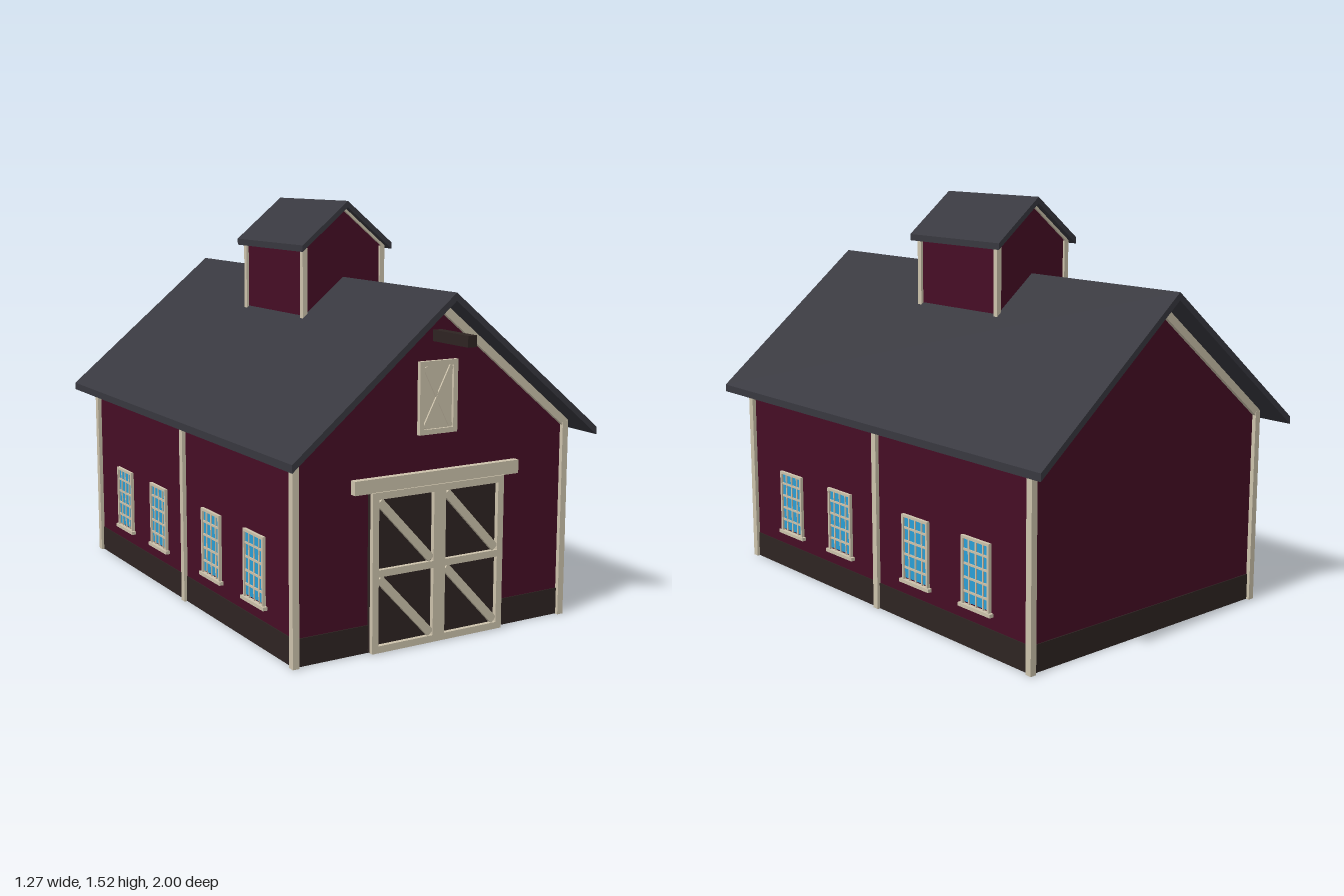
import * as THREE from 'three';

const mat = (name, color) => Object.assign(new THREE.MeshStandardMaterial({ color }), { name });

export function createModel() {
  const barn = new THREE.Group();
  barn.name = 'barn';
  const red = mat('barn red', 0x460d25);
  const slate = mat('slate roof', 0x38383f);
  const cream = mat('cream trim', 0xcdc3ac);
  const dark = mat('dark timber', 0x2e2422);
  const blue = mat('window blue', 0x2a9fd6);

  const ZC = -0.043;   // middle of the building along z
  const SLOPE = 0.817;

  const add = (parent, name, geo, m) => {
    const mesh = new THREE.Mesh(geo, m);
    mesh.name = name;
    parent.add(mesh);
    return mesh;
  };
  // box given by its min and max on each axis
  const box = (parent, name, m, x0, x1, y0, y1, z0, z1) => {
    const b = add(parent, name, new THREE.BoxGeometry(x1 - x0, y1 - y0, z1 - z0), m);
    b.position.set((x0 + x1) / 2, (y0 + y1) / 2, (z0 + z1) / 2);
    return b;
  };
  // outline in x/y, stretched from z0 to z1
  const prism = (parent, name, m, pts, z0, z1) => {
    const shape = new THREE.Shape(pts.map(p => new THREE.Vector2(...p)));
    const geo = new THREE.ExtrudeGeometry(shape, { depth: z1 - z0, bevelEnabled: false });
    geo.translate(0, 0, z0);
    return add(parent, name, geo, m);
  };
  // inverted V with vertical thickness t
  const chevron = (peak, half, t) => {
    const e = peak - half * SLOPE;
    return [[-half, e - t], [0, peak - t], [half, e - t], [half, e], [0, peak], [-half, e]];
  };
  const gable = (peak, half, base) => {
    const e = peak - half * SLOPE;
    return [[-half, base], [half, base], [half, e], [0, peak], [-half, e]];
  };
  // flat board running between two points in the x/y plane
  const brace = (parent, name, m, ax, ay, bx, by, w, z0, z1) => {
    const b = box(parent, name, m, 0, Math.hypot(bx - ax, by - ay), 0, w, z0, z1);
    b.position.set((ax + bx) / 2, (ay + by) / 2, (z0 + z1) / 2);
    b.rotation.z = Math.atan2(by - ay, bx - ax);
    return b;
  };

  // main hall
  const zf = 0.8, zb = -0.886;
  prism(barn, 'walls', red, gable(1.208, 0.565, 0), zb, zf);
  box(barn, 'baseBoard', dark, -0.569, 0.569, 0.001, 0.1, zb - 0.004, zf + 0.004);
  prism(barn, 'roof', slate, chevron(1.24, 0.633, 0.028), -1, 0.91);
  prism(barn, 'frontRake', cream, chevron(1.212, 0.58, 0.037), zf - 0.01, zf + 0.015);
  prism(barn, 'backRake', cream, chevron(1.212, 0.58, 0.037), zb - 0.015, zb + 0.01);
  for (const s of [-1, 1]) {
    const side = (name, m, a, b, ...r) =>
      box(barn, name, m, Math.min(s * a, s * b), Math.max(s * a, s * b), ...r);
    side('cornerPost', cream, 0.555, 0.58, 0, 0.735, 0.79, 0.816);
    side('cornerPost', cream, 0.555, 0.58, 0, 0.735, -0.902, -0.876);
    side('middlePost', cream, 0.56, 0.58, 0, 0.735, ZC - 0.013, ZC + 0.013);
    side('eaveBoard', cream, 0.56, 0.58, 0.7, 0.737, -0.9, 0.814);
  }

  // side windows
  function makeWindow() {
    const g = new THREE.Group();
    g.name = 'window';
    const w = 0.074, y0 = 0.155, y1 = 0.405, f = 0.01;
    box(g, 'glass', blue, -w + f, w - f, y0 + f, y1 - f, -0.005, 0.004);
    for (const s of [-1, 1]) {
      box(g, 'jamb', cream, s * (w - f / 2) - f / 2, s * (w - f / 2) + f / 2, y0, y1, -0.005, 0.012);
    }
    box(g, 'head', cream, -w, w, y1 - f, y1, -0.005, 0.012);
    box(g, 'sill', cream, -0.085, 0.085, 0.146, 0.159, -0.005, 0.017);
    for (let i = 1; i < 4; i++) {
      const x = -w + (i * 2 * w) / 4;
      box(g, 'verticalBar', cream, x - 0.003, x + 0.003, y0, y1, 0, 0.008);
    }
    for (let i = 1; i < 5; i++) {
      const y = y0 + (i * (y1 - y0)) / 5;
      box(g, 'crossBar', cream, -w, w, y - 0.004, y + 0.004, 0, 0.008);
    }
    return g;
  }
  for (const s of [-1, 1]) {
    for (const d of [-0.57, -0.235, 0.235, 0.57]) {
      const win = makeWindow();
      win.position.set(s * 0.565, 0, ZC + d);
      win.rotation.y = (s * Math.PI) / 2;
      barn.add(win);
    }
  }

  // double barn door
  const doors = new THREE.Group();
  doors.name = 'barnDoors';
  barn.add(doors);
  for (const x0 of [-0.277, 0]) {
    const x1 = x0 + 0.277, f = 0.025;
    box(doors, 'doorPanel', dark, x0, x1, 0.003, 0.565, 0.8, 0.815);
    box(doors, 'stile', cream, x0, x0 + f, 0.003, 0.57, 0.8, 0.832);
    box(doors, 'stile', cream, x1 - f, x1, 0.003, 0.57, 0.8, 0.832);
    for (const y of [0.003, 0.273, 0.545]) {
      box(doors, 'rail', cream, x0 + f, x1 - f, y, y + f, 0.8, 0.832);
    }
    for (const y of [0.028, 0.298]) {
      brace(doors, 'brace', cream, x0 + f + 0.006, y + 0.238, x1 - f - 0.006, y + 0.008, 0.03, 0.81, 0.828);
    }
  }
  box(doors, 'doorTrack', cream, -0.345, 0.345, 0.568, 0.617, 0.79, 0.826);

  // loft hatch with crossed boards
  const hatch = new THREE.Group();
  hatch.name = 'loftHatch';
  barn.add(hatch);
  box(hatch, 'hatchPanel', cream, -0.078, 0.078, 0.747, 0.998, 0.795, 0.806);
  for (const s of [-1, 1]) {
    box(hatch, 'hatchStile', cream, s * 0.07 - 0.009, s * 0.07 + 0.009, 0.745, 1, 0.8, 0.816);
    box(hatch, 'hatchRail', cream, -0.061, 0.061, 0.8725 + s * 0.1185 - 0.009, 0.8725 + s * 0.1185 + 0.009, 0.8, 0.816);
    brace(hatch, 'hatchBrace', cream, -0.055, 0.8725 - s * 0.105, 0.055, 0.8725 + s * 0.105, 0.016, 0.8, 0.812 + s * 0.0005);
  }

  // hoist beam
  box(barn, 'hoistBeam', dark, -0.018, 0.018, 1.066, 1.105, 0.78, 1);

  // cupola
  const cupola = new THREE.Group();
  cupola.name = 'cupola';
  cupola.position.z = ZC;
  barn.add(cupola);
  prism(cupola, 'cupolaWalls', red, gable(1.5, 0.17, 1.05), -0.225, 0.225);
  prism(cupola, 'cupolaRoof', slate, chevron(1.525, 0.195, 0.024), -0.26, 0.26);
  for (const s of [-1, 1]) {
    prism(cupola, 'cupolaRake', cream, chevron(1.501, 0.18, 0.012), s * 0.228 - 0.006, s * 0.228 + 0.006);
    box(cupola, 'cupolaEaveBoard', cream, s * 0.172 - 0.008, s * 0.172 + 0.008, 1.34, 1.353, -0.23, 0.23);
    for (const t of [-1, 1]) {
      box(cupola, 'cupolaPost', cream, s * 0.17 - 0.01, s * 0.17 + 0.01, 1.085, 1.353, t * 0.224 - 0.01, t * 0.224 + 0.01);
    }
  }
  return barn;
}
